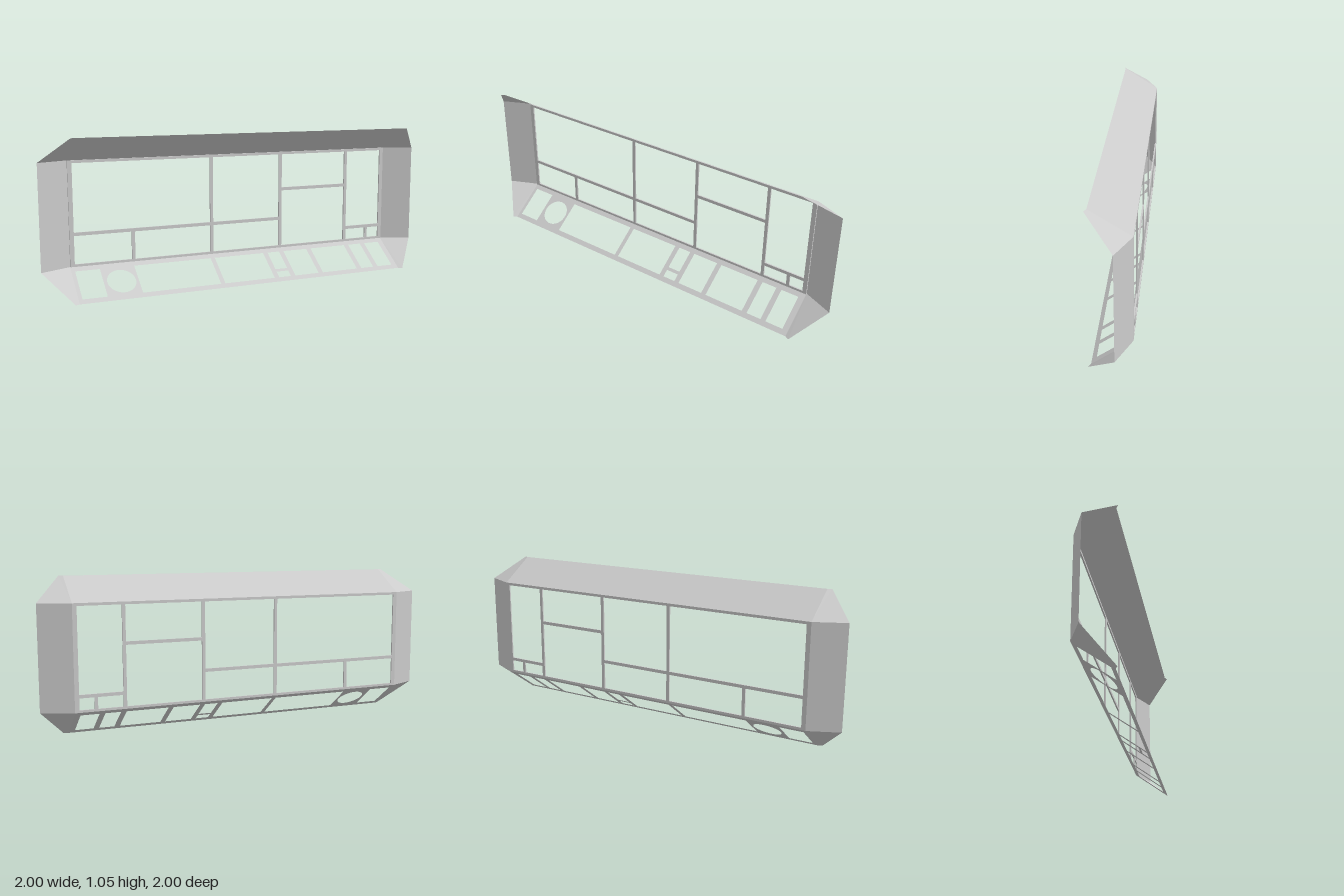
import * as THREE from 'three';

const material = new THREE.MeshStandardMaterial({ color: 0xcccccc, flatShading: true, side: THREE.DoubleSide });

// Section of the bay: z is depth, y is height
const Y0 = 0.187, Y1 = 0.89, TOP = 1.05;
const BACK = -0.092, LIP = 0.163, HALF = 1.209;

function rect(path, x0, y0, x1, y1) {
  path.moveTo(x0, y0);
  path.lineTo(x1, y0);
  path.lineTo(x1, y1);
  path.lineTo(x0, y1);
  path.closePath();
  return path;
}

// Flat sheet with rectangular openings [x0, y0, x1, y1]
function sheet(x0, y0, x1, y1, openings) {
  const shape = rect(new THREE.Shape(), x0, y0, x1, y1);
  openings.forEach((o) => shape.holes.push(rect(new THREE.Path(), ...o)));
  return shape;
}

// Fan of triangles around the first point
function fan(points) {
  const pos = [];
  for (let i = 1; i < points.length - 1; i++) pos.push(...points[0], ...points[i], ...points[i + 1]);
  const g = new THREE.BufferGeometry();
  g.setAttribute('position', new THREE.Float32BufferAttribute(pos, 3));
  g.computeVertexNormals();
  return g;
}

export function createModel() {
  const model = new THREE.Group();
  model.name = 'bayWindow';
  const bay = new THREE.Group();
  bay.name = 'bayShell';
  bay.rotation.y = Math.PI / 4;
  model.add(bay);

  const add = (name, geometry) => {
    const mesh = new THREE.Mesh(geometry, material);
    mesh.name = name;
    bay.add(mesh);
    return mesh;
  };

  // Window wall with its mullions left between the openings
  const b = 0.011; // half width of a bar
  const edge = 1.18, low = 0.203, high = 0.872;
  const m1 = -0.208, m2 = 0.33, m3 = 0.878, mLow = -0.778, mSmall = 1.07;
  const r1 = 0.404, r2 = 0.62, r3 = 0.292;
  const panes = [
    [-edge, r1 + b, m1 - b, high],
    [m1 + b, r1 + b, m2 - b, high],
    [-edge, low, mLow - b, r1 - b],
    [mLow + b, low, m1 - b, r1 - b],
    [m1 + b, low, m2 - b, r1 - b],
    [m2 + b, r2 + b, m3 - b, high],
    [m2 + b, low, m3 - b, r2 - b],
    [m3 + b, r3 + b, edge, high],
    [m3 + b, low, mSmall - b, r3 - b],
    [mSmall + b, low, edge, r3 - b],
  ];
  const wall = add('windowFrame', new THREE.ExtrudeGeometry(
    sheet(-HALF, Y0, HALF, Y1, panes), { depth: 0.01, bevelEnabled: false }));
  wall.position.z = BACK;

  // Sloping lower strip with openings and one round hole
  const depth = LIP - BACK;
  const length = Math.hypot(depth, Y0);
  const s0 = 0.037, s1 = 0.275;
  const cells = [[-1.185, -1.02], [-0.785, -0.228], [-0.197, 0.182], [0.347, 0.537],
    [0.573, 0.862], [0.9, 1.005], [1.043, 1.168]].map(([a, c]) => [a, s0, c, s1]);
  cells.push([0.217, s0, 0.311, 0.09], [0.217, 0.113, 0.311, s1]);
  const strip = sheet(-HALF, 0, HALF, length, cells);
  strip.holes.push(new THREE.Path().absarc(-0.9, 0.154, 0.097, 0, Math.PI * 2, true));
  const lower = add('lowerStrip', new THREE.ShapeGeometry(strip, 24));
  lower.rotation.x = -Math.atan2(depth, Y0);
  lower.position.z = LIP;

  // Solid sloping roof
  add('roof', fan([[-HALF, Y1, BACK], [HALF, Y1, BACK], [HALF, TOP, LIP], [-HALF, TOP, LIP]]));

  // End walls and the corner facets above and below them
  for (const side of [-1, 1]) {
    const tag = side > 0 ? 'right' : 'left';
    const inner = side * HALF, tip = side * 1.414, corner = side * 1.237;
    add(tag + 'EndWall', fan([[inner, Y0, BACK], [tip, Y0, 0], [tip, Y1, 0], [inner, Y1, BACK]]));
    for (const [name, yWall, yLip] of [['LowerCorner', Y0, 0], ['UpperCorner', Y1, TOP]]) {
      add(tag + name, fan([[inner, yWall, BACK], [tip, yWall, 0], [corner, yLip, 0.177], [inner, yLip, LIP]]));
    }
  }
  return model;
}
